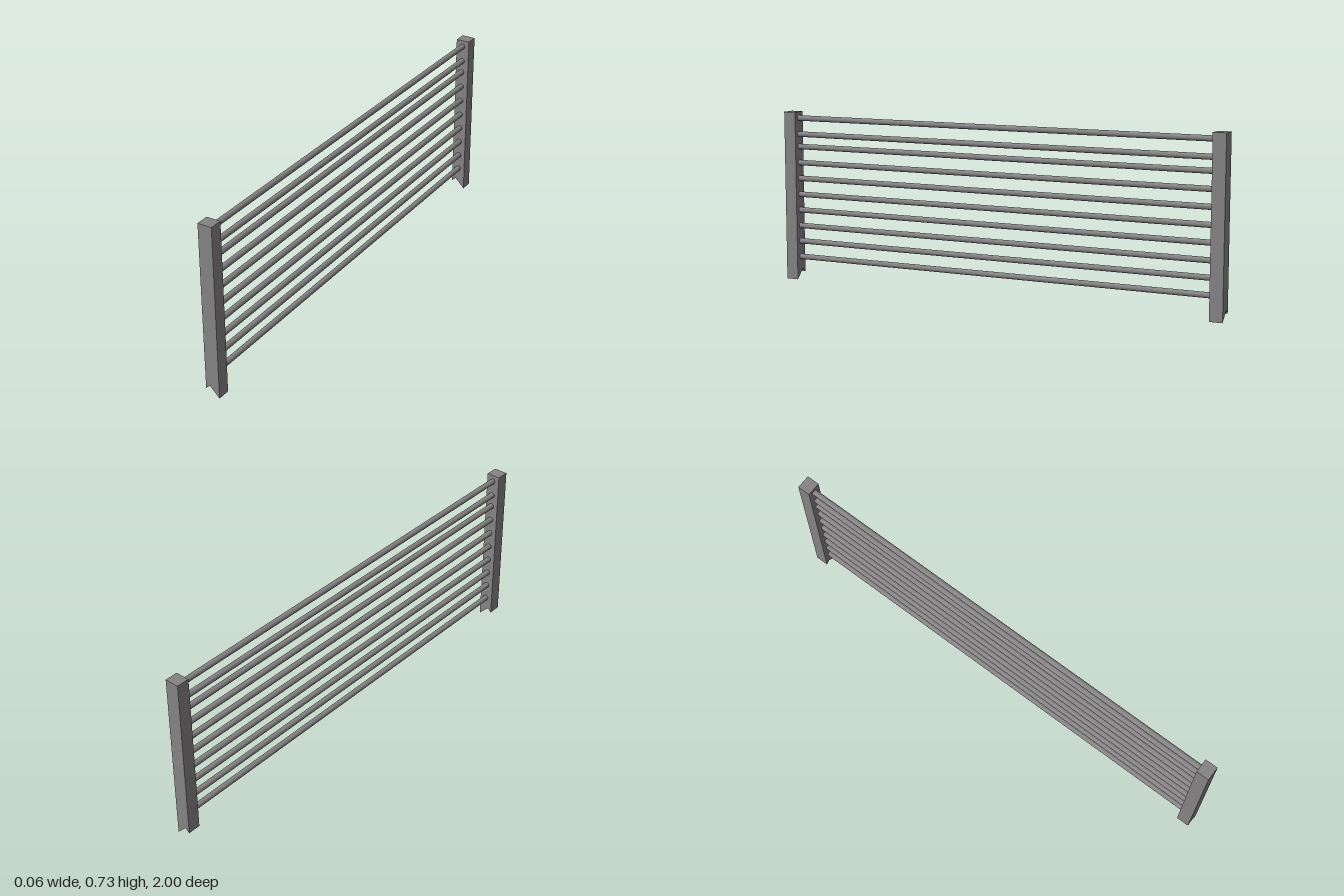
import * as THREE from 'three';

export function createModel() {
  const model = new THREE.Group();
  model.name = 'railing';
  const steel = new THREE.MeshStandardMaterial({ color: 0x858383 });
  steel.name = 'grey steel';

  const postDepth = 0.055;
  const halfWidth = 0.03;
  const height = 0.733;

  // Square post with a notched foot, extruded along z
  const profile = new THREE.Shape([
    new THREE.Vector2(-halfWidth, 0.027),
    new THREE.Vector2(-0.012, 0.043),
    new THREE.Vector2(halfWidth, 0),
    new THREE.Vector2(halfWidth, height),
    new THREE.Vector2(-halfWidth, height),
  ]);
  const postGeometry = new THREE.ExtrudeGeometry(profile, { depth: postDepth, bevelEnabled: false });
  for (const [name, z] of [['frontPost', 1 - postDepth], ['backPost', -1]]) {
    const post = new THREE.Mesh(postGeometry, steel);
    post.name = name;
    post.position.z = z;
    model.add(post);
  }

  // Round bars between the posts, ends flush with the inner faces
  const barHeights = [0.098, 0.167, 0.235, 0.304, 0.373, 0.443, 0.512, 0.582, 0.636, 0.706];
  const barGeometry = new THREE.CylinderGeometry(0.012, 0.012, 2 * (1 - postDepth), 16);
  barGeometry.rotateX(Math.PI / 2);
  barHeights.forEach((y, i) => {
    const bar = new THREE.Mesh(barGeometry, steel);
    bar.name = `bar${i + 1}`;
    bar.position.y = y;
    model.add(bar);
  });

  return model;
}
